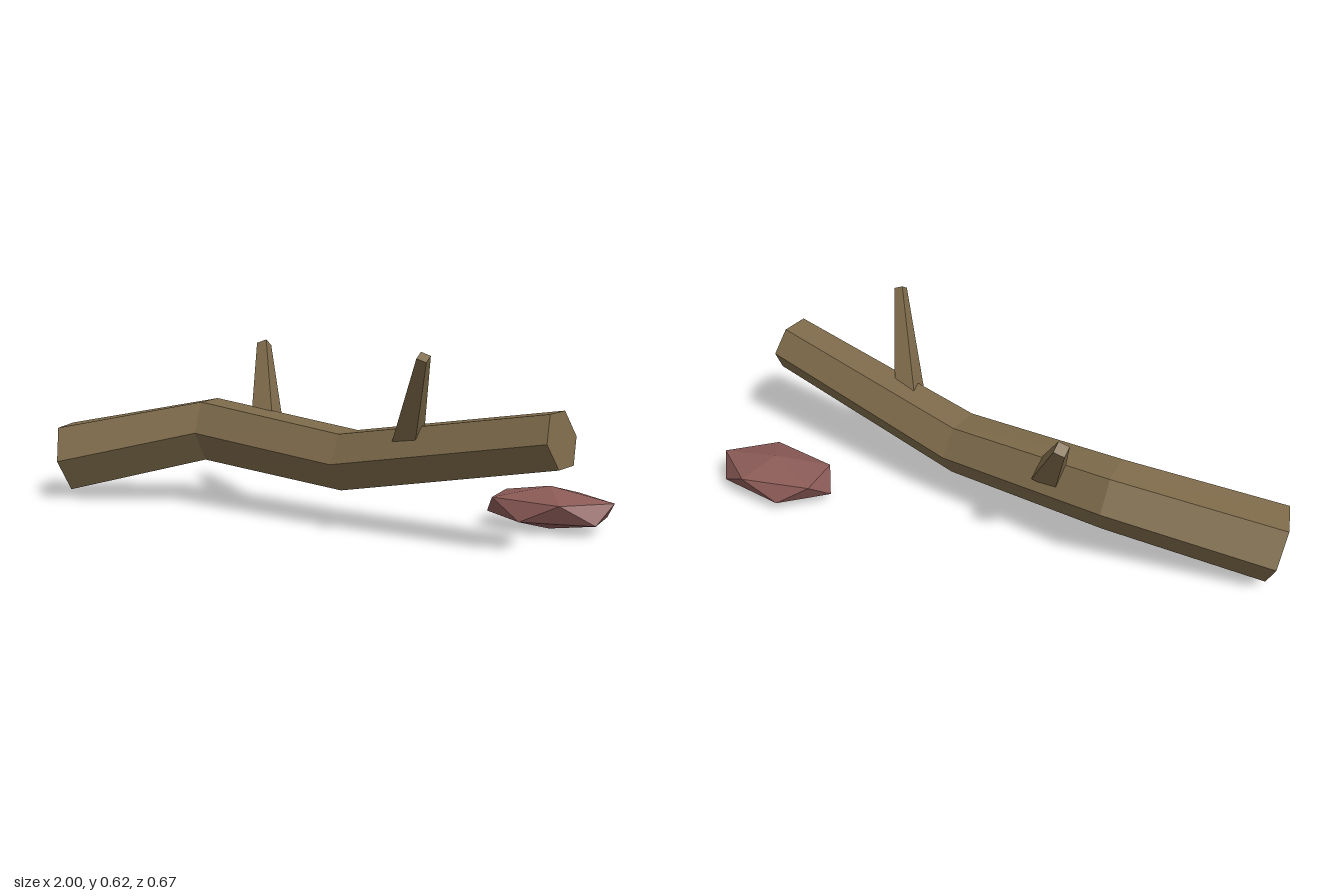
import * as THREE from 'three';
import { ConvexGeometry } from 'three/addons/geometries/ConvexGeometry.js';

const V = (x, y, z) => new THREE.Vector3(x, y, z);
const flat = (color) => new THREE.MeshStandardMaterial({ color, flatShading: true });

// Six-sided tube along a bent spine; each ring is tilted to face along the spine.
function branchGeometry(centres, radii, sides = 6) {
  const pos = [], index = [];
  const last = centres.length - 1;
  const dirs = centres.slice(1).map((c, i) => c.clone().sub(centres[i]).normalize());
  centres.forEach((c, r) => {
    const d = dirs[Math.max(r - 1, 0)].clone().add(dirs[Math.min(r, last - 1)]);
    for (let i = 0; i < sides; i++) {
      const a = (i / sides) * Math.PI * 2;
      const dy = Math.sin(a) * radii[r] * (r < 1 ? 0.98 : 1), dz = Math.cos(a) * radii[r];
      pos.push(c.x - (d.y * dy + d.z * dz) / d.x, c.y + dy, c.z + dz);
    }
  });
  const start = pos.length / 3, end = start + 1;
  pos.push(...centres[0].toArray(), ...centres[last].toArray());
  for (let i = 0; i < sides; i++) {
    const j = (i + 1) % sides;
    for (let r = 0; r < last; r++) {
      const a = r * sides + i, b = r * sides + j, c = a + sides, d = b + sides;
      index.push(a, c, d, a, d, b);
    }
    index.push(start, i, j, end, last * sides + j, last * sides + i);
  }
  const g = new THREE.BufferGeometry();
  g.setAttribute('position', new THREE.Float32BufferAttribute(pos, 3));
  g.setIndex(index);
  const out = g.toNonIndexed();
  out.computeVertexNormals();
  return out;
}

// Tapered four-sided twig from base to tip
function twig(name, base, tip, rBase, rTip, material) {
  const dir = tip.clone().sub(base);
  const g = new THREE.CylinderGeometry(rTip, rBase, dir.length(), 4);
  g.rotateY(Math.PI / 4);
  const mesh = new THREE.Mesh(g, material);
  mesh.name = name;
  mesh.quaternion.setFromUnitVectors(V(0, 1, 0), dir.normalize());
  mesh.position.copy(base).add(tip).multiplyScalar(0.5);
  return mesh;
}

// Flattened twenty-sided pebble standing on one pole
function pebbleGeometry(rx, ry, rz) {
  const pts = [V(0, ry, 0), V(0, -ry, 0)];
  const h = 1 / Math.sqrt(5), w = 2 * h;
  for (let i = 0; i < 5; i++) {
    const a = (i / 5) * Math.PI * 2;
    const x = w * rx * Math.cos(a), z = w * rz * Math.sin(a);
    pts.push(V(x, h * ry, z), V(-x, -h * ry, -z));
  }
  return new ConvexGeometry(pts);
}

export function createModel() {
  const model = new THREE.Group();
  model.name = 'fallenBranch';
  const wood = flat(0x7d6a4a);

  // Main bent branch
  const branch = new THREE.Mesh(branchGeometry(
    [V(-0.96, 0.147, 0.026), V(-0.43, 0.268, -0.092), V(0.17, 0.221, 0.03), V(0.925, 0.364, 0.175)],
    [0.132, 0.119, 0.108, 0.095]), wood);
  branch.name = 'branch';
  model.add(branch);

  // Side twigs
  model.add(
    twig('frontTwig', V(0.4, 0.3, 0.094), V(0.54, 0.606, 0.318), 0.057, 0.023, wood),
    twig('backTwig', V(-0.21, 0.295, -0.105), V(-0.33, 0.56, -0.308), 0.06, 0.027, wood));

  // Loose pebble on the ground
  const pebble = new THREE.Mesh(pebbleGeometry(0.24, 0.072, 0.1447), flat(0x8a5a56));
  pebble.name = 'pebble';
  pebble.position.set(0.785, 0.073, -0.212);
  model.add(pebble);

  return model;
}
